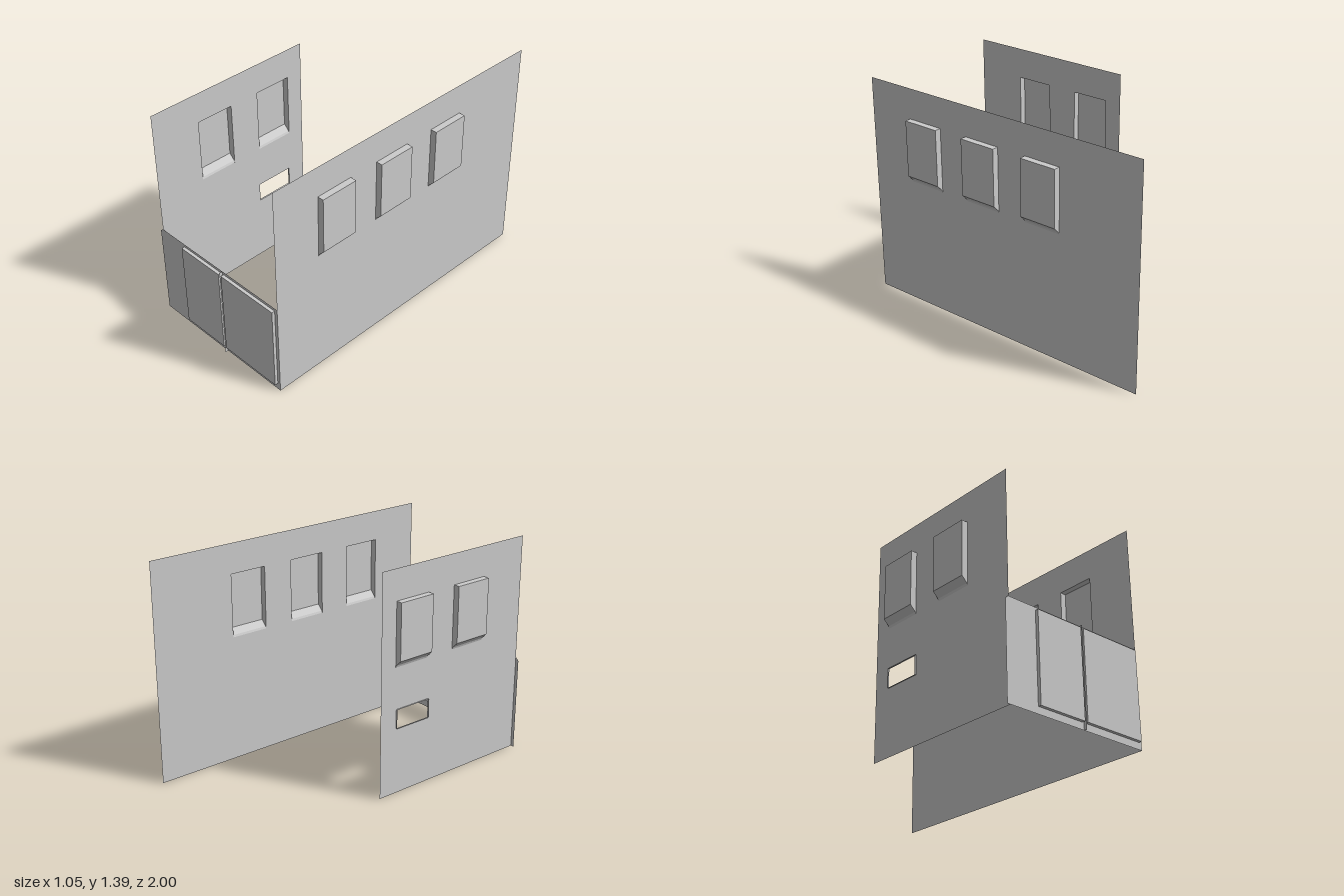
import * as THREE from 'three';

const material = new THREE.MeshStandardMaterial({ color: 0xcccccc, flatShading: true, side: THREE.DoubleSide });

function addMesh(parent, geometry, name) {
  const mesh = new THREE.Mesh(geometry, material);
  mesh.name = name;
  parent.add(mesh);
  return mesh;
}

// Rectangle as a closed loop of [x, y, depth] corners
const rect = (x0, x1, y0, y1, z) => [[x0, y0, z], [x1, y0, z], [x1, y1, z], [x0, y1, z]];

// Flat sheet with rectangular openings
function sheet(outline, openings) {
  const shape = new THREE.Shape(outline.map(([x, y]) => new THREE.Vector2(x, y)));
  for (const loop of openings) {
    shape.holes.push(new THREE.Path(loop.map(([x, y]) => new THREE.Vector2(x, y)).reverse()));
  }
  return new THREE.ShapeGeometry(shape);
}

// Skin joining successive rectangular loops, optionally closed at its outer end
function pocket(loops, capped) {
  const index = [];
  for (let s = 0; s < loops.length - 1; s++) {
    for (let i = 0; i < 4; i++) {
      const a = s * 4 + i, b = s * 4 + (i + 1) % 4;
      index.push(a, b, b + 4, a, b + 4, a + 4);
    }
  }
  const e = (loops.length - 1) * 4;
  if (capped) index.push(e, e + 1, e + 2, e, e + 2, e + 3);
  const geometry = new THREE.BufferGeometry();
  geometry.setAttribute('position', new THREE.Float32BufferAttribute(loops.flat(2), 3));
  geometry.setIndex(index);
  const flat = geometry.toNonIndexed();
  flat.computeVertexNormals();
  return flat;
}

// Projecting window bay with a sloped sill, open to the inside
const windowLoops = (u) => [
  rect(u, u + 0.243, 0.802, 1.2, 0),
  rect(u, u + 0.243, 0.815, 1.2, 0.005),
  rect(u, u + 0.243, 0.85, 1.2, 0.04),
];

// Side wall in its own frame: x along the wall, z outward
function sideWall(name, u0, u1, windowStarts, hatch) {
  const wall = new THREE.Group();
  wall.name = name;
  const bays = windowStarts.map(windowLoops);
  const openings = bays.map((loops) => loops[0]);
  if (hatch) openings.push(hatch);
  addMesh(wall, sheet(rect(u0, u1, 0, 1.39, 0), openings), name + 'Sheet');
  bays.forEach((loops, i) => addMesh(wall, pocket(loops, true), name + 'Window' + (i + 1)));
  if (hatch) {
    const rim = hatch.map(([x, y]) => [x, y, 0.01]);
    addMesh(wall, pocket([hatch, rim], false), name + 'HatchRim');
  }
  return wall;
}

export function createModel() {
  const model = new THREE.Group();
  model.name = 'walls';

  // Long wall with three windows
  const leftWall = sideWall('leftWall', -0.98, 1, [-0.668, -0.227, 0.213], null);
  leftWall.rotation.y = Math.PI / 2;
  leftWall.position.x = 0.4875;
  model.add(leftWall);

  // Short wall with two windows and an open hatch
  const rightWall = sideWall('rightWall', -0.13, 0.98, [-0.022, 0.42], rect(-0.012, 0.234, 0.42, 0.54, 0));
  rightWall.rotation.y = -Math.PI / 2;
  rightWall.position.x = -0.4875;
  model.add(rightWall);

  // Low front panel with a clipped corner and two raised door leaves
  const front = new THREE.Group();
  front.name = 'frontPanel';
  front.position.z = 0.98;
  const doors = [[-0.295, 0.027], [0.047, 0.467]].map(([a, b]) => [
    rect(a, b, 0.043, 0.59, 0), rect(a, b, 0.043, 0.59, 0.02),
  ]);
  const outline = [[-0.51, 0], [0.4875, 0], [0.4875, 0.608], [-0.49, 0.608], [-0.51, 0.59]];
  addMesh(front, sheet(outline, doors.map((loops) => loops[0])), 'frontSheet');
  doors.forEach((loops, i) => addMesh(front, pocket(loops, true), 'door' + (i + 1)));

  // Upright seam fin between the doors
  const fin = addMesh(front, new THREE.PlaneGeometry(0.02, 0.608), 'seamFin');
  fin.rotation.y = Math.PI / 2;
  fin.position.set(0.037, 0.304, 0.01);
  model.add(front);

  return model;
}
